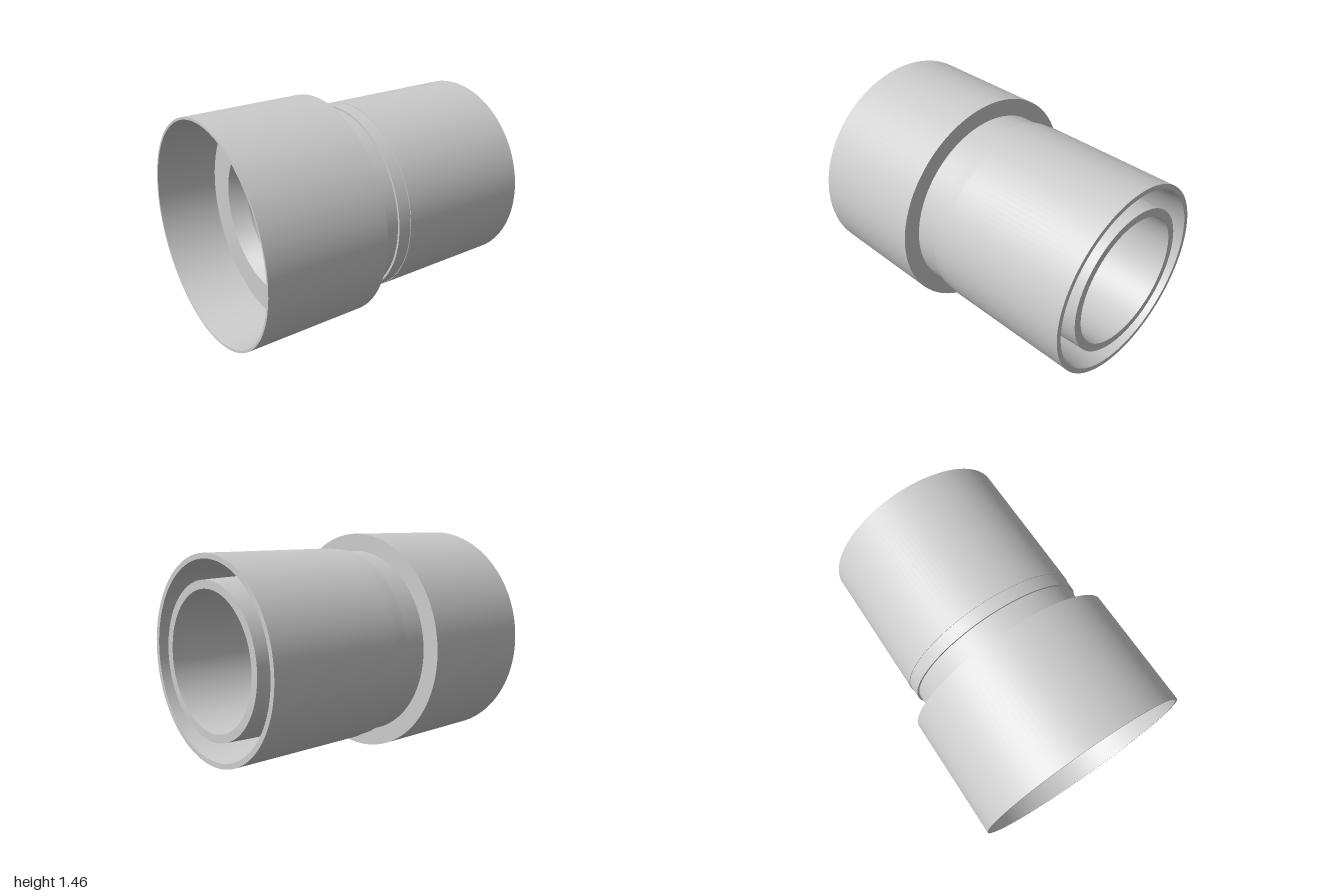
import * as THREE from 'three';
import { mergeGeometries } from 'three/addons/utils/BufferGeometryUtils.js';

const AXIS_Y = 0.73;
const SEGMENTS = 128;

// Revolve [x, radius] points about the x axis, keeping a sharp edge at every point
function turned(points) {
  const bands = [];
  for (let i = 0; i + 1 < points.length; i++) {
    const pair = [points[i], points[i + 1]].map(([x, r]) => new THREE.Vector2(r, x));
    bands.push(new THREE.LatheGeometry(pair, SEGMENTS));
  }
  return mergeGeometries(bands).rotateZ(-Math.PI / 2);
}

export function createModel() {
  const group = new THREE.Group();
  group.name = 'pipeAdapter';
  const grey = new THREE.MeshStandardMaterial({ color: 0xcccccc });
  grey.name = 'light grey';

  // The profiles join end to end into one closed section
  const parts = {
    // wide socket: step floor, tapered wall, rim, outside and front shoulder
    socket: [[-0.6, 0.48], [-0.6, 0.68], [-1, 0.715], [-1, 0.73], [-0.185, 0.73], [-0.185, 0.615]],
    // neck and small raised band
    neck: [[-0.185, 0.615], [-0.015, 0.615], [-0.015, 0.63], [0.07, 0.633], [0.07, 0.637]],
    // outer sleeve with its rim and tapered inside
    outerSleeve: [[0.07, 0.637], [1, 0.637], [1, 0.604], [0.07, 0.557]],
    // floor of the ring-shaped groove
    grooveFloor: [[0.07, 0.557], [0.07, 0.515]],
    // inner tube: tapered outside, rim, bore and flared mouth into the socket
    innerTube: [[0.07, 0.515], [1, 0.483], [1, 0.43], [-0.48, 0.43], [-0.6, 0.48]],
  };

  for (const [name, points] of Object.entries(parts)) {
    const mesh = new THREE.Mesh(turned(points), grey);
    mesh.name = name;
    mesh.position.y = AXIS_Y;
    group.add(mesh);
  }
  return group;
}
